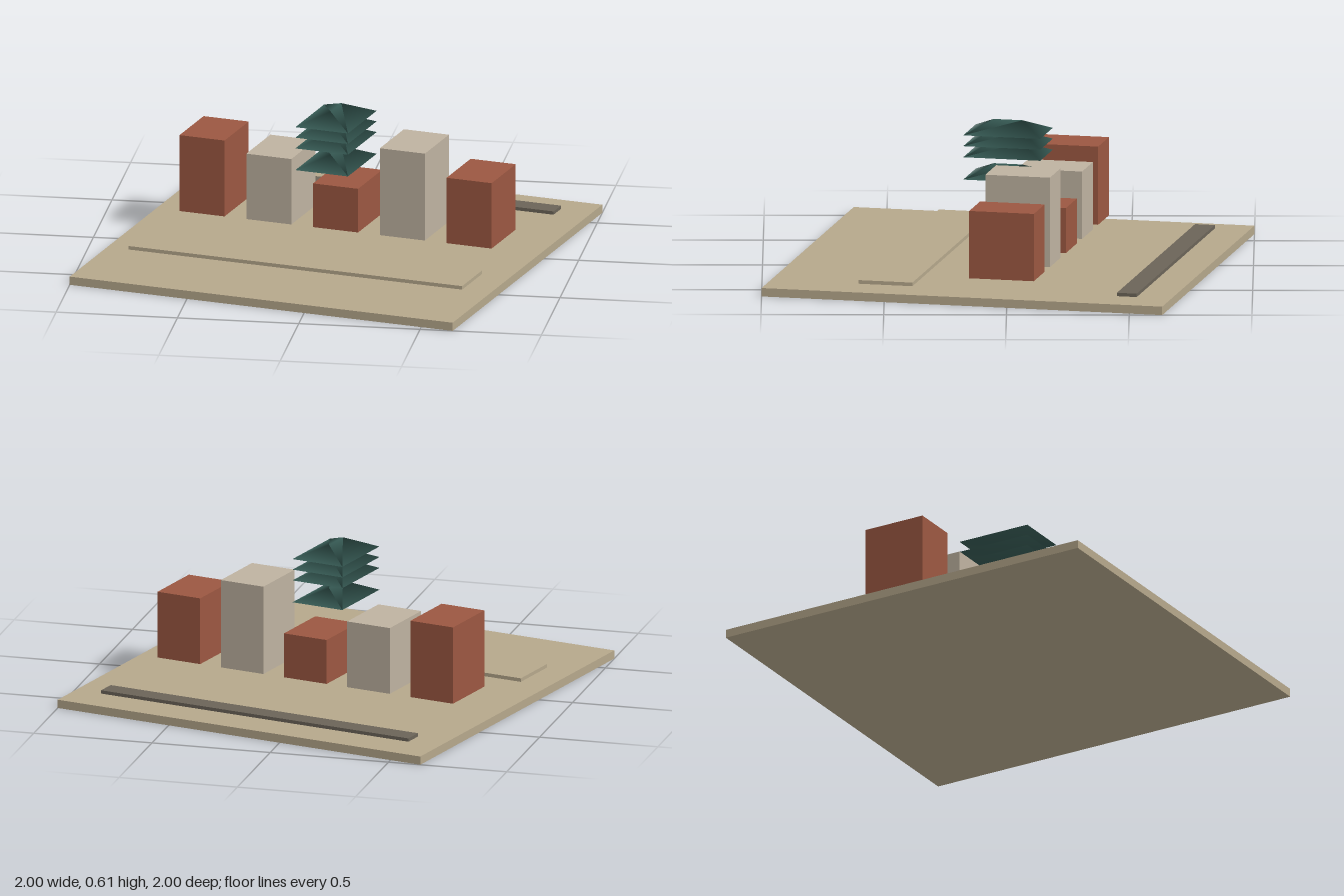
import * as THREE from 'three';

const mat = (color) => new THREE.MeshStandardMaterial({ color });
const SAND = mat(0xb5a78b), DARK = mat(0x6b6458), BRICK = mat(0x9b5741), STONE = mat(0xbeb2a0), TEAL = mat(0x365a54);

// Box placed by its centre in plan and its bottom and top heights
function block(name, material, x, z, width, depth, bottom, top) {
  const mesh = new THREE.Mesh(new THREE.BoxGeometry(width, top - bottom, depth), material);
  mesh.position.set(x, (bottom + top) / 2, z);
  mesh.name = name;
  return mesh;
}

// Closed hipped roof with its ridge along z; shared corners give smooth normals
function hipRoof(width, depth, ridge, height) {
  const w = width / 2, d = depth / 2, r = ridge / 2;
  const geometry = new THREE.BufferGeometry();
  geometry.setAttribute('position', new THREE.Float32BufferAttribute([
    -w, 0, -d, w, 0, -d, w, 0, d, -w, 0, d, 0, height, -r, 0, height, r,
  ], 3));
  geometry.setIndex([
    2, 1, 4, 2, 4, 5, // +x slope
    0, 3, 5, 0, 5, 4, // -x slope
    3, 2, 5, 1, 0, 4, // hip ends
    0, 1, 2, 0, 2, 3, // underside
  ]);
  geometry.computeVertexNormals();
  return geometry;
}

export function createModel() {
  const model = new THREE.Group();
  model.name = 'cityBlock';

  // Ground plate and the two raised strips
  model.add(block('groundPlate', SAND, 0, 0, 1.675, 1.675, 0, 0.035));
  model.add(block('plazaStrip', SAND, 0, 0.344, 1.46, 0.225, 0.049, 0.064));
  model.add(block('roadStrip', DARK, 0, -0.66, 1.42, 0.083, 0.043, 0.057));

  // Row of buildings in alternating colours
  [0.408, 0.363, 0.27, 0.455, 0.363].forEach((top, i) => {
    model.add(block('building' + (i + 1), i % 2 ? STONE : BRICK, (i - 2) * 0.292, -0.13, 0.197, 0.27, 0.083, top));
  });

  // Stacked roof tiers
  const roof = hipRoof(0.23, 0.322, 0.12, 0.05);
  [0.372, 0.465, 0.511, 0.556].forEach((y, i) => {
    const tier = new THREE.Mesh(roof, TEAL);
    tier.position.y = y;
    tier.name = 'roofTier' + (i + 1);
    model.add(tier);
  });

  // The whole block stands turned in plan
  model.rotation.y = -0.22;
  return model;
}
